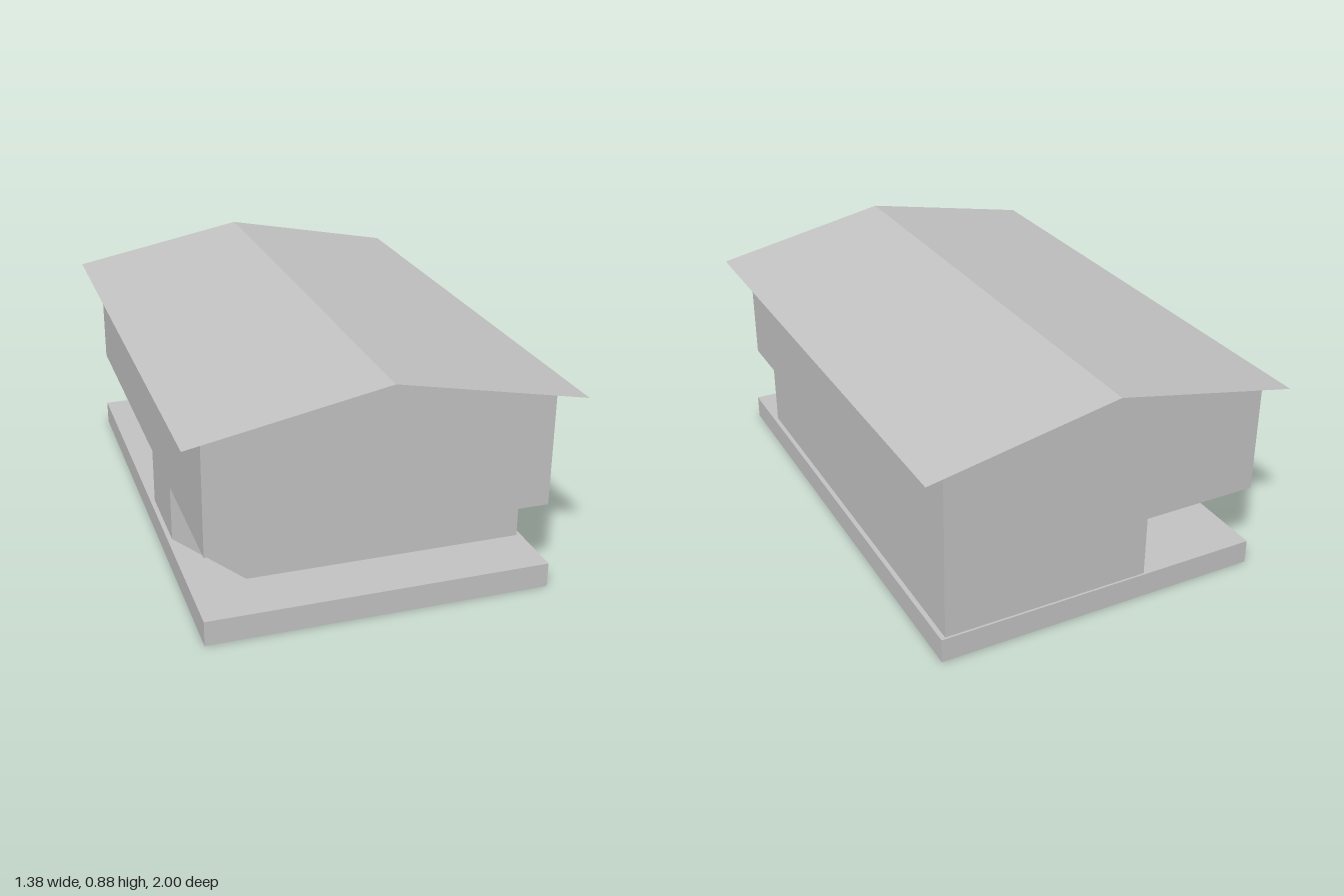
import * as THREE from 'three';

const plaster = new THREE.MeshStandardMaterial({ color: 0xc4c4c4, side: THREE.DoubleSide });
plaster.name = 'plain grey';

function prism(points, depth) {
  const shape = new THREE.Shape(points.map(([x, y]) => new THREE.Vector2(x, y)));
  return new THREE.ExtrudeGeometry(shape, { depth, bevelEnabled: false });
}

export function createModel() {
  const model = new THREE.Group();
  model.name = 'house';
  const add = (name, geometry) => {
    const mesh = new THREE.Mesh(geometry, plaster);
    mesh.name = name;
    model.add(mesh);
    return mesh;
  };

  const baseTop = 0.092, floorY = 0.326;
  const ridge = 0.875, eaveX = 0.692, eaveY = 0.74;
  const roofY = (x) => ridge - (Math.abs(x) * (ridge - eaveY)) / eaveX;

  // Plinth: a slab with an open underside
  const plinth = new THREE.BoxGeometry(1.25, baseTop, 1.894);
  const index = Array.from(plinth.index.array);
  index.splice(18, 6);
  plinth.setIndex(index);
  plinth.clearGroups();
  add('plinth', plinth).position.set(-0.004, baseTop / 2, 0.003);

  // Ground floor: recessed front, chamfered front corner, open rear corner (x, z outline)
  const outline = [
    [0.604, 0.73], [-0.425, 0.73], [-0.612, 0.38], [-0.612, 0.062],
    [-0.18, 0.062], [-0.18, -0.936], [0.604, -0.936],
  ].map(([x, z]) => [x, -z]);
  const ground = prism(outline, floorY - baseTop);
  ground.rotateX(-Math.PI / 2);
  add('groundFloor', ground).position.y = baseTop;

  // Upper floor with gable ends, kept just under the roof sheet
  const left = 0.605, right = -0.62, gap = 0.001;
  const upper = prism([
    [right, floorY], [left, floorY], [left, roofY(left) - gap],
    [0, ridge - gap], [right, roofY(right) - gap],
  ], 1.88);
  add('upperFloor', upper).position.z = -0.94;

  // Roof: one folded sheet with overhanging eaves
  const roof = new THREE.PlaneGeometry(2 * eaveX, 2, 2, 1).rotateX(-Math.PI / 2);
  const pos = roof.attributes.position;
  for (let i = 0; i < pos.count; i++) pos.setY(i, roofY(pos.getX(i)));
  const folded = roof.toNonIndexed();
  folded.computeVertexNormals();
  add('roof', folded);

  return model;
}
